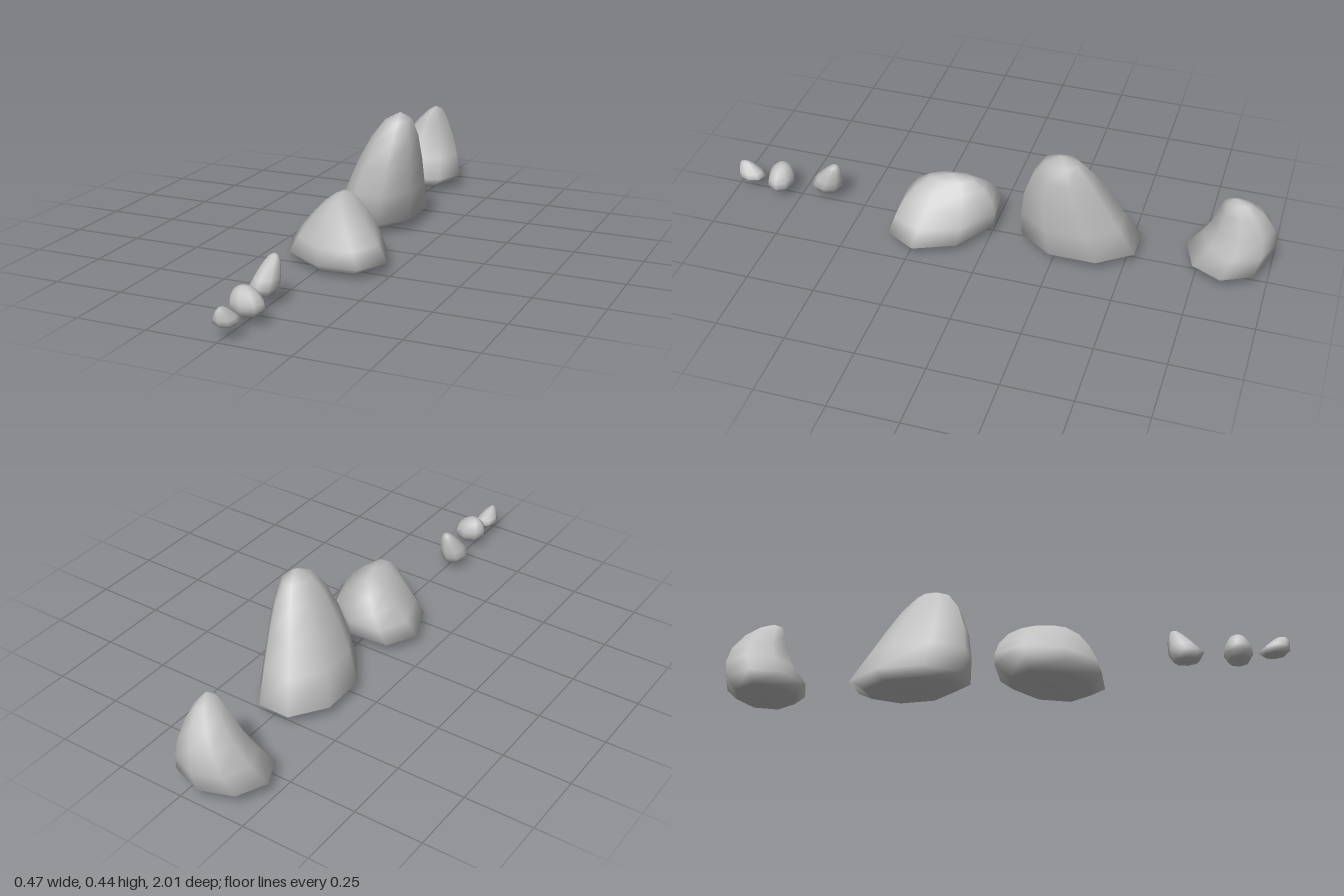
import * as THREE from 'three';

const SIDES = 8;
const LEVELS = [0, 0.27, 0.53, 0.77, 0.93]; // section heights, as a share of the rock above its widest ring

// at: centre of the widest ring; rise and drop: height above and depth below it.
// lean moves the peak and bend bows the middle, both in [x, z].
// taperX and taperZ are [p, q] in the width rule (1 - t^p)^q.
const rocks = [
  { name: 'hookedBackRock', at: [-0.067, 0.055, -0.847], radius: [0.168, 0.148], rise: 0.275, drop: 0.037,
    lean: [0.055, -0.01], bend: [-0.01, -0.04], taperX: [1, 0.7], taperZ: [1, 0.43] },
  { name: 'tallRock', at: [-0.02, 0.045, -0.327], radius: [0.157, 0.223], rise: 0.397, drop: 0.03, turn: Math.PI / 8,
    lean: [0.092, 0.06], bend: [0, 0.015], taperX: [1, 0.45], taperZ: [1, 0.47] },
  { name: 'broadRock', at: [0.023, 0.04, 0.172], radius: [0.208, 0.19], rise: 0.203, drop: 0.035, skew: 0.32,
    lean: [0.002, -0.025], bend: [0, -0.005], taperX: [1, 0.66], taperZ: [2, 0.4] },
  { name: 'pointedPebble', at: [-0.019, 0.065, 0.651], radius: [0.051, 0.061], rise: 0.099, drop: 0.027,
    lean: [0.017, -0.042], bend: [0, 0], taperX: [1, 0.46], taperZ: [1, 0.54] },
  { name: 'roundPebble', at: [0.013, 0.058, 0.825], radius: [0.062, 0.05], rise: 0.07, drop: 0.022,
    lean: [-0.013, 0], bend: [0, 0], taperX: [2, 0.56], taperZ: [2, 0.5] },
  { name: 'smallFrontPebble', at: [0.006, 0.056, 0.946], radius: [0.042, 0.053], rise: 0.052, drop: 0.012,
    lean: [-0.006, 0.03], bend: [0, 0], taperX: [1, 0.62], taperZ: [1, 0.45] },
];

function rockGeometry({ at, radius, rise, drop, turn = 0, skew = 0, lean, bend, taperX, taperZ }) {
  const [cx, cy, cz] = at;
  const width = (t, [p, q]) => (1 - t ** p) ** q;
  const shift = (t, i) => lean[i] * t + bend[i] * 4 * t * (1 - t);

  // One ring of corners around the leaning spine
  const positions = [];
  const addRing = (y, x, z, rx, rz) => {
    for (let j = 0; j < SIDES; j++) {
      const a = turn + (j / SIDES) * Math.PI * 2;
      positions.push(x + rx * Math.cos(a), y, z + rz * Math.sin(a + skew));
    }
  };
  addRing(cy - drop, cx, cz, radius[0] * 0.74, radius[1] * 0.74);
  for (const t of LEVELS) {
    addRing(cy + rise * t, cx + shift(t, 0), cz + shift(t, 1),
      radius[0] * width(t, taperX), radius[1] * width(t, taperZ));
  }

  // Centre of the underside, then the peak
  const last = SIDES * LEVELS.length;
  const bottom = last + SIDES;
  const top = bottom + 1;
  positions.push(cx, cy - drop - 0.004, cz);
  positions.push(cx + lean[0], cy + rise, cz + lean[1]);

  // Sides and both caps
  const index = [];
  for (let j = 0; j < SIDES; j++) {
    const k = (j + 1) % SIDES;
    for (let r = 0; r < last; r += SIDES) {
      const a = r + j, b = r + k, c = a + SIDES, d = b + SIDES;
      index.push(a, c, b, c, d, b);
    }
    index.push(bottom, j, k, top, last + k, last + j);
  }

  const geometry = new THREE.BufferGeometry();
  geometry.setAttribute('position', new THREE.Float32BufferAttribute(positions, 3));
  geometry.setIndex(index);
  geometry.computeVertexNormals();
  return geometry;
}

export function createModel() {
  const group = new THREE.Group();
  group.name = 'rockRow';
  const stone = new THREE.MeshStandardMaterial({ color: 0xc0c0c0 });
  stone.name = 'greyStone';
  for (const rock of rocks) {
    const mesh = new THREE.Mesh(rockGeometry(rock), stone);
    mesh.name = rock.name;
    group.add(mesh);
  }
  return group;
}
